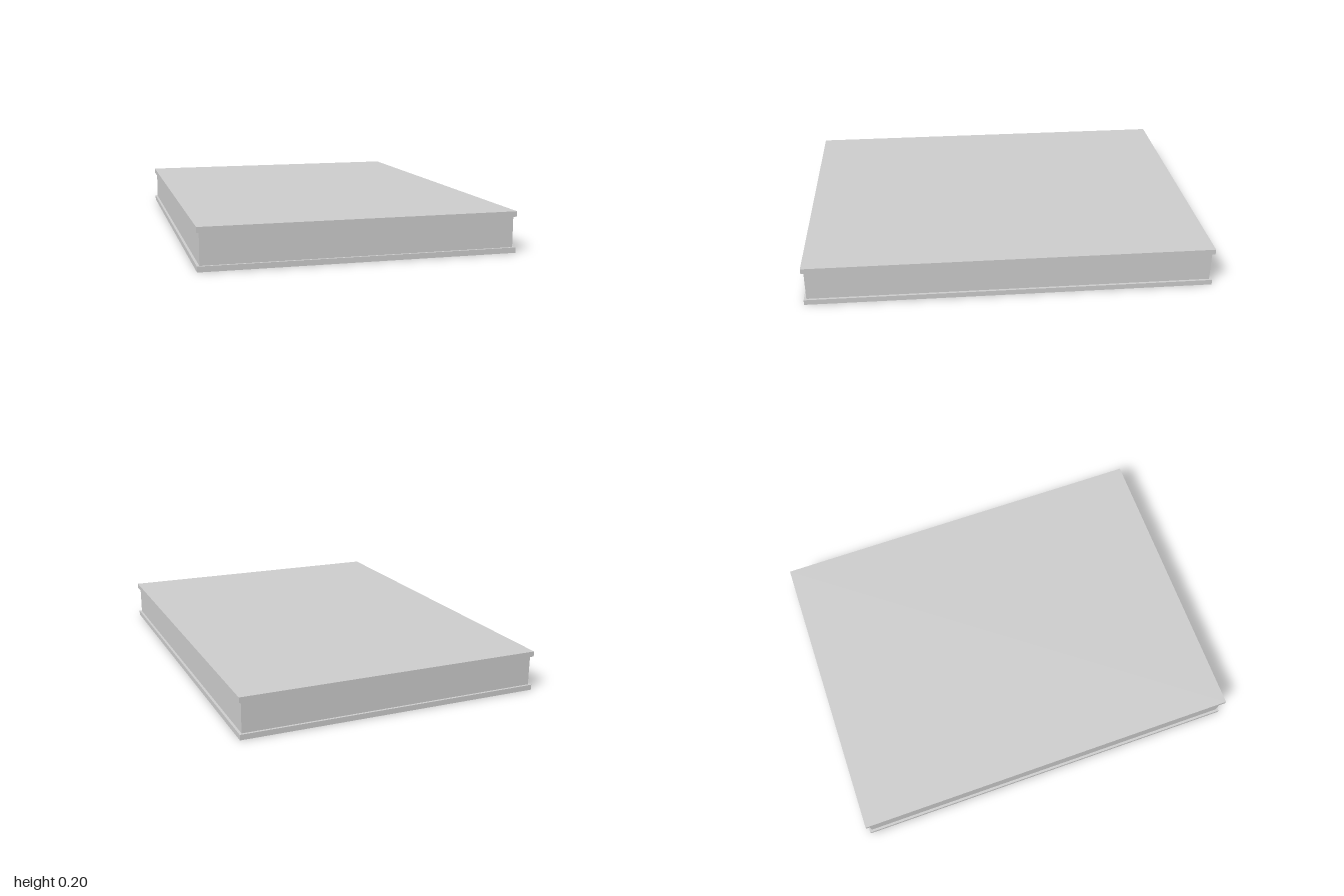
import * as THREE from 'three';

export function createModel() {
  const group = new THREE.Group();
  const material = new THREE.MeshStandardMaterial({ color: 0xcccccc, flatShading: true });

  function slab(name, width, depth, bottom, top, x = 0, z = 0) {
    const mesh = new THREE.Mesh(new THREE.BoxGeometry(width, top - bottom, depth), material);
    mesh.name = name;
    mesh.position.set(x, (bottom + top) / 2, z);
    group.add(mesh);
  }

  // Two thin face sheets overhanging a slightly inset core
  slab('bottomSheet', 1.51, 2, 0, 0.026);
  slab('core', 1.486, 1.976, 0.026, 0.174);
  slab('topSheet', 1.51, 2, 0.174, 0.2);

  return group;
}
